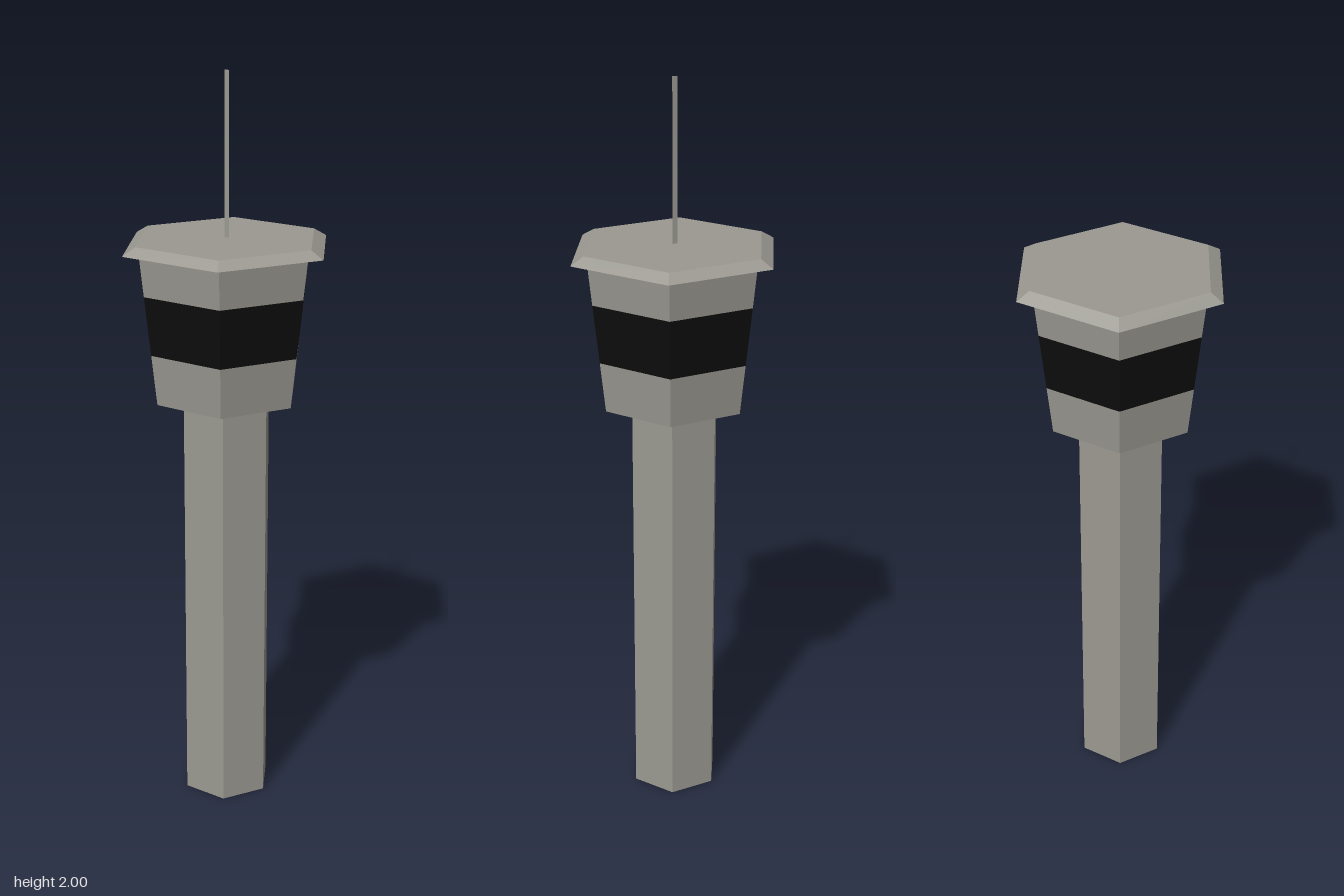
import * as THREE from 'three';

export function createModel() {
  const concrete = new THREE.MeshStandardMaterial({ color: 0x9b9991, flatShading: true, side: THREE.DoubleSide });
  concrete.name = 'concrete';
  const glass = new THREE.MeshStandardMaterial({ color: 0x0d0d0d, flatShading: true, side: THREE.DoubleSide });
  glass.name = 'dark glass';

  const tower = new THREE.Group();
  tower.name = 'controlTower';

  const add = (name, geometry, material, y) => {
    const mesh = new THREE.Mesh(geometry, material);
    mesh.name = name;
    mesh.position.y = y;
    tower.add(mesh);
  };

  // Open-ended hexagonal section with corners on the x axis
  const hexSection = (name, y0, y1, r0, r1, material) =>
    add(name, new THREE.CylinderGeometry(r1, r0, y1 - y0, 6, 1, true, Math.PI / 6), material, (y0 + y1) / 2);

  // Flat hexagon facing up or down
  const hexPlate = (name, y, r, up) => {
    const plate = new THREE.CircleGeometry(r, 6);
    plate.rotateX(up ? -Math.PI / 2 : Math.PI / 2);
    add(name, plate, concrete, y);
  };

  // Shaft, open at the foot
  hexSection('shaft', 0, 1.155, 0.125, 0.125, concrete);

  // Flared cabin with a continuous window band
  const cabinRadius = (y) => 0.2 + (0.245 - 0.2) * (y - 1.155) / (1.555 - 1.155);
  const cabin = [
    ['cabinBase', 1.155, 1.29, concrete],
    ['windowBand', 1.29, 1.447, glass],
    ['cabinTop', 1.447, 1.557, concrete],
  ];
  for (const [name, y0, y1, material] of cabin) {
    hexSection(name, y0, y1, cabinRadius(y0), cabinRadius(y1), material);
  }
  hexPlate('cabinFloor', 1.155, 0.2, false);

  // Overhanging roof with a bevelled rim
  hexPlate('roofUnderside', 1.557, 0.29, false);
  hexSection('roofRim', 1.557, 1.578, 0.29, 0.254, concrete);
  hexPlate('roofTop', 1.578, 0.254, true);

  // Antenna: a thin upright blade
  add('antenna', new THREE.PlaneGeometry(0.014, 2 - 1.578), concrete, (2 + 1.578) / 2);

  return tower;
}
